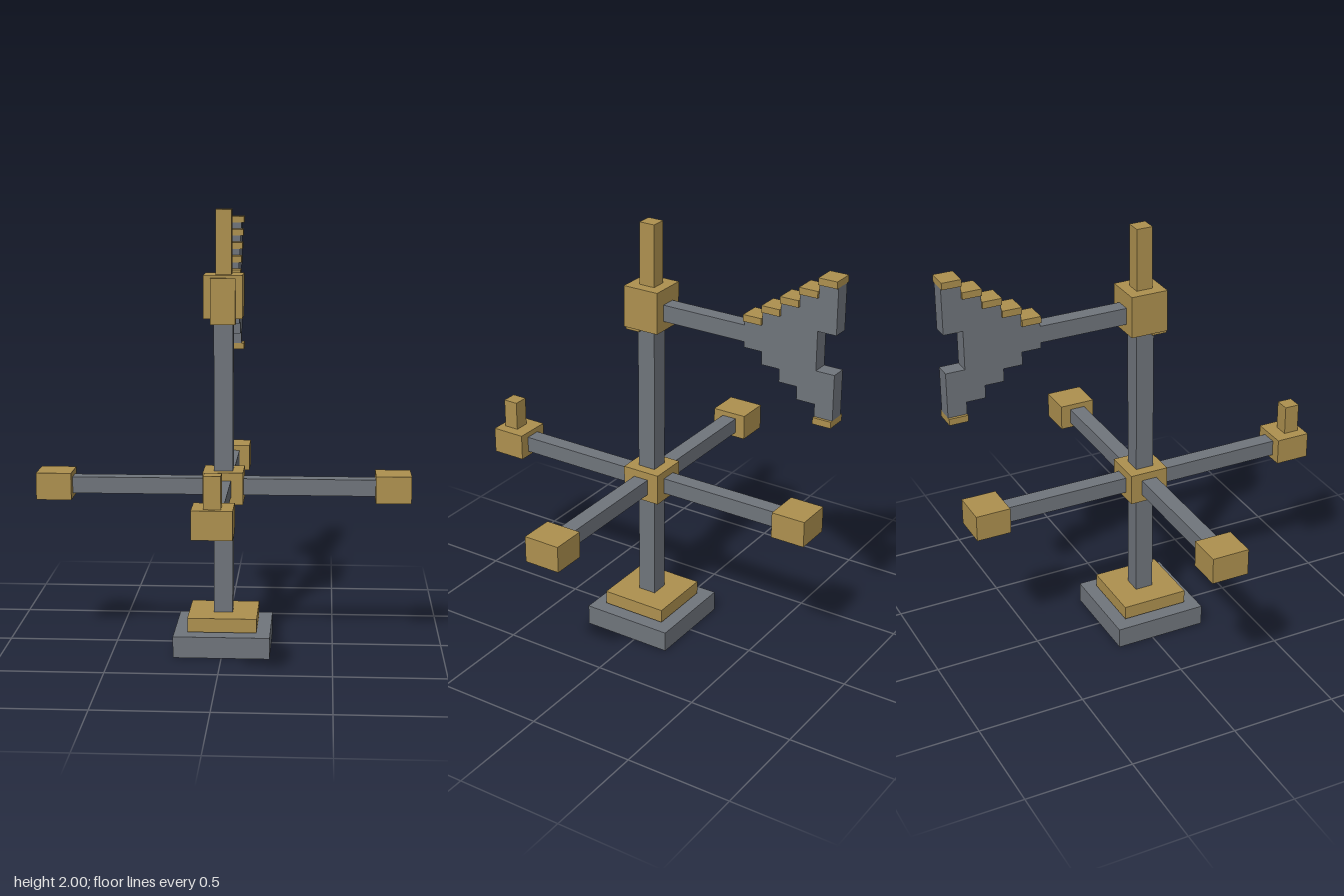
import * as THREE from 'three';

export function createModel() {
  const model = new THREE.Group();
  model.name = 'weatherVane';
  const iron = new THREE.MeshStandardMaterial({ color: 0x70757c });
  iron.name = 'iron grey';
  const brass = new THREE.MeshStandardMaterial({ color: 0xae914f });
  brass.name = 'aged brass';

  const AXIS = 0.043; // z of the pole's centre line

  // Box given by its centre x, half width, and y and z ranges
  function block(name, material, x, halfWidth, [y0, y1], [z0, z1], parent = model) {
    const mesh = new THREE.Mesh(new THREE.BoxGeometry(halfWidth * 2, y1 - y0, z1 - z0), material);
    mesh.position.set(x, (y0 + y1) / 2, (z0 + z1) / 2);
    mesh.name = name;
    parent.add(mesh);
    return mesh;
  }
  const around = (half) => [AXIS - half, AXIS + half];

  // Stepped foot and pole
  block('base', iron, 0, 0.218, [0, 0.097], around(0.218));
  block('plinth', brass, 0, 0.157, [0.103, 0.167], around(0.157));
  block('pole', iron, 0, 0.043, [0.097, 1.54], around(0.043));

  // Compass cross: hub, four arms and their end blocks
  block('compassHub', brass, 0, 0.091, [0.68, 0.826], around(0.092));
  const armY = [0.715, 0.79];
  const endY = [0.692, 0.815];
  for (const side of [-1, 1]) {
    block('sideArm', iron, side * 0.385, 0.31, armY, around(0.037));
    block('sideArmEnd', brass, side * 0.768, 0.08, endY, around(0.086));
  }
  block('frontArm', iron, 0, 0.037, armY, [0.1, 0.74]);
  block('frontArmEnd', brass, 0, 0.086, endY, [0.733, 0.895]);
  block('northPeg', brass, 0, 0.036, [0.815, 0.953], [0.797, 0.868]);
  block('backArm', iron, 0, 0.037, armY, [-0.65, 0]);
  block('backArmEnd', brass, 0, 0.086, endY, [-0.807, -0.645]);

  // Rotating head with front plate and spire
  block('headHub', brass, 0, 0.087, [1.52, 1.713], around(0.087));
  block('headPlate', brass, 0, 0.056, [1.495, 1.7], [0.073, 0.143]);
  block('spire', brass, 0, 0.036, [1.7, 2], around(0.038));
  block('tailRod', iron, 0, 0.036, [1.565, 1.642], [-0.46, -0.03]);

  // Stepped tail fin: columns grow towards the back, each with a brass cap
  const tail = new THREE.Group();
  tail.name = 'tailFin';
  model.add(tail);
  const FIN = 0.037, CAP = 0.05, CAP_HEIGHT = 0.031;
  const STEP = 0.0875, START = -0.455;
  for (let i = 0; i < 5; i++) {
    const z = [START - (i + 1) * STEP, START - i * STEP];
    const top = 1.695 + i * 0.0595;
    const bottom = 1.54 - i * 0.0595;
    const finTop = top - CAP_HEIGHT;
    block('finCap', brass, 0, CAP, [finTop, top], z, tail);
    if (i < 4) {
      block('finColumn', iron, 0, FIN, [bottom, finTop], z, tail);
    } else {
      // The last column is notched into two tips
      block('upperTip', iron, 0, FIN, [1.693, finTop], z, tail);
      block('lowerTip', iron, 0, FIN, [1.305, 1.515], z, tail);
      block('lowerTipCap', brass, 0, CAP, [1.275, 1.305], z, tail);
    }
  }
  return model;
}
